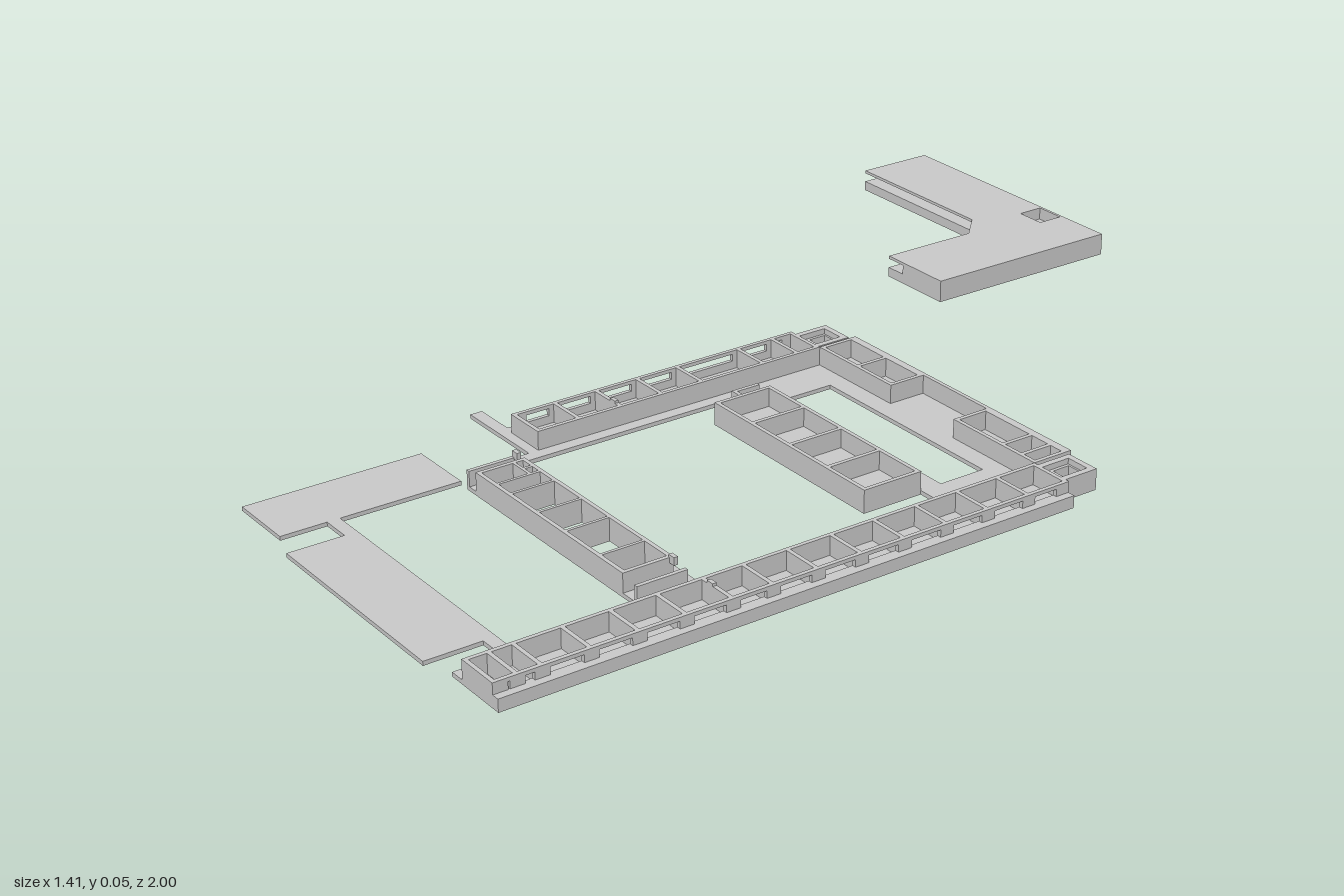
import * as THREE from 'three';

const mat = new THREE.MeshStandardMaterial({ color: 0xcccccc, flatShading: true });
const H = 0.045, FLOOR = 0.008, T = 0.008;

// box given by its limits on each axis
function box(parent, name, x0, x1, y0, y1, z0, z1) {
  const m = new THREE.Mesh(new THREE.BoxGeometry(x1 - x0, y1 - y0, z1 - z0), mat);
  m.position.set((x0 + x1) / 2, (y0 + y1) / 2, (z0 + z1) / 2);
  m.name = name;
  parent.add(m);
  return m;
}

// flat slab from a plan outline in (x, z), with rectangular holes [x0, x1, z0, z1]
function slab(parent, name, pts, holes, y0, y1) {
  const shape = new THREE.Shape(pts.map(([x, z]) => new THREE.Vector2(x, -z)));
  for (const [a, b, c, d] of holes) {
    shape.holes.push(new THREE.Path([[a, c], [a, d], [b, d], [b, c]].map(([x, z]) => new THREE.Vector2(x, -z))));
  }
  const g = new THREE.ExtrudeGeometry(shape, { depth: y1 - y0, bevelEnabled: false });
  g.rotateX(-Math.PI / 2);
  g.translate(0, y0, 0);
  const m = new THREE.Mesh(g, mat);
  m.name = name;
  parent.add(m);
}

// four thin walls around a rectangle
function walls(parent, name, x0, x1, z0, z1, y0 = FLOOR) {
  box(parent, name, x0, x1, y0, H, z0, z0 + T);
  box(parent, name, x0, x1, y0, H, z1 - T, z1);
  box(parent, name, x0, x0 + T, y0, H, z0 + T, z1 - T);
  box(parent, name, x1 - T, x1, y0, H, z0 + T, z1 - T);
}

// side wall along z with a row of windows between posts
function windowWall(parent, name, x, z0, z1, stops) {
  box(parent, name, x, x + T, FLOOR, 0.024, z0, z1);
  box(parent, name, x, x + T, 0.038, H, z0, z1);
  for (const z of stops) box(parent, name + 'Post', x, x + T, 0.024, 0.038, z - 0.014, z + 0.014);
}

// long open channel along z, split by cross ribs
function channel(parent, name, x0, x1, z0, z1, ribs, outerIsMax) {
  const g = new THREE.Group();
  g.name = name;
  const ends = [z0 + 0.014, ...ribs, z1 - 0.014];
  windowWall(g, 'outerWall', outerIsMax ? x1 - T : x0, z0, z1, ends);
  box(g, 'innerWall', outerIsMax ? x0 : x1 - T, outerIsMax ? x0 + T : x1, FLOOR, H, z0, z1);
  for (const z of [z0 + T / 2, ...ribs, z1 - T / 2]) {
    box(g, 'rib', x0 + T, x1 - T, FLOOR, H, z - T / 2, z + T / 2);
  }
  parent.add(g);
}

function cornerPiece() {
  const g = new THREE.Group();
  g.name = 'cornerPiece';
  // L outline; d sets back the inner edges and c is the chamfer
  const outline = (d, c) => [
    [-0.71, -1], [-0.13, -1], [-0.13, -0.57], [-0.295 + d, -0.57],
    [-0.295 + d, -0.835 - d + c], [-0.295 + d - c, -0.835 - d], [-0.71, -0.835 - d]];
  const small = [-0.31, -0.28, -0.97, -0.94], large = [-0.317, -0.254, -0.994, -0.94];
  slab(g, 'bottomSlab', outline(0, 0.055), [small], 0, 0.02);
  slab(g, 'core', outline(0.045, 0.03), [large], 0.02, 0.039);
  slab(g, 'topPlate', outline(0, 0.055), [large], 0.039, H);
  return g;
}

function frame() {
  const g = new THREE.Group();
  g.name = 'frame';

  // thin base plates
  const base = [
    [-0.015, 0.6, -0.265, -0.14], [-0.015, 0.07, -0.14, -0.045], [0.51, 0.6, -0.14, -0.045],
    [-0.015, 0.6, -0.045, 0], [0.57, 0.705, -0.18, 0.98], [-0.127, -0.015, -0.13, 0.45],
    [-0.015, 0.01, 0, 0.525], [-0.105, -0.015, -0.18, -0.13], [-0.215, -0.015, 0.445, 0.47],
    [0.01, 0.57, 0.503, 0.525], [0.07, 0.51, 0, 0.125], [0.03, 0.07, 0, 0.058],
    [-0.127, 0.01, 0.625, 0.98], [0.01, 0.57, 0.865, 0.89], [0.07, 0.515, 0.89, 1],
    [0.03, 0.06, 0.525, 0.625], [0.51, 0.555, 0.525, 0.625]];
  for (const [x0, x1, z0, z1] of base) box(g, 'basePlate', x0, x1, 0, FLOOR, z0, z1);
  box(g, 'sideLip', 0.69, 0.705, FLOOR, 0.024, -0.18, 0.98);

  // side channels
  channel(g, 'leftChannel', 0.6, 0.69, -0.18, 0.98,
    [-0.09, 0, 0.09, 0.18, 0.27, 0.36, 0.45, 0.53, 0.62, 0.71, 0.8, 0.89, 0.935], true);
  channel(g, 'rightChannel', -0.105, -0.015, -0.18, 0.45, [-0.13, -0.05, 0.09, 0.18, 0.27, 0.36], false);

  // back beam: tall rear wall with a boxed section at each end
  box(g, 'backWall', -0.015, 0.6, FLOOR, H, -0.265, -0.257);
  walls(g, 'backBox', -0.015, 0.2, -0.257, -0.18);
  walls(g, 'backBox', 0.38, 0.6, -0.257, -0.18);
  for (const x of [0.095, 0.51, 0.56]) box(g, 'backRib', x - T / 2, x + T / 2, FLOOR, H, -0.257, -0.188);

  // square sockets at the two back corners
  for (const x of [-0.055, 0.645]) {
    const ring = (r, zc) => [[x - r, zc - r], [x + r, zc - r], [x + r, zc + r], [x - r, zc + r]];
    slab(g, 'cornerSocket', ring(0.036, -0.216), [[x - 0.018, x + 0.018, -0.236, -0.2]], 0.004, 0.034);
    box(g, 'cornerBack', x - 0.036, x + 0.036, 0.034, H, -0.252, -0.24);
    for (const s of [-1, 1]) {
      box(g, 'cornerSide', x + s * 0.03 - 0.006, x + s * 0.03 + 0.006, 0.034, H, -0.24, -0.18);
    }
  }

  // rear tray, with a floor
  walls(g, 'rearTray', 0.07, 0.51, 0, 0.125);
  for (const x of [0.18, 0.29, 0.4]) box(g, 'rearTrayRib', x - T / 2, x + T / 2, FLOOR, H, T, 0.125 - T);
  box(g, 'rearTrayTab', 0.03, 0.07, FLOOR, 0.035, 0.05, 0.058);
  box(g, 'rearTrayTab', 0.03, 0.038, FLOOR, 0.035, 0, 0.05);

  // front tray, open underneath
  walls(g, 'frontTray', 0.06, 0.515, 0.525, 0.625, 0);
  for (const x of [0.12, 0.165, 0.25, 0.335, 0.44]) {
    box(g, 'frontTrayRib', x - 0.003, x + 0.003, 0, H, 0.525 + T, 0.625 - T);
  }
  box(g, 'frontTrayCell', 0.068, 0.12, 0, H, 0.548, 0.554);
  box(g, 'frontTrayCell', 0.092, 0.098, 0, H, 0.533, 0.548);
  for (const x of [0.03, 0.548]) box(g, 'trayEndWall', x, x + T, FLOOR, 0.038, 0.525, 0.625);

  // small studs on the rims
  for (const [x, z] of [[-0.04, 0.27], [0.04, 0.529], [0.52, 0.529], [0.63, 0.53]]) {
    box(g, 'stud', x - 0.008, x + 0.008, 0.035, 0.05, z - 0.004, z + 0.004);
  }
  return g;
}

export function createModel() {
  const model = new THREE.Group();
  model.name = 'frameAndCorner';
  model.add(cornerPiece(), frame());
  return model;
}
